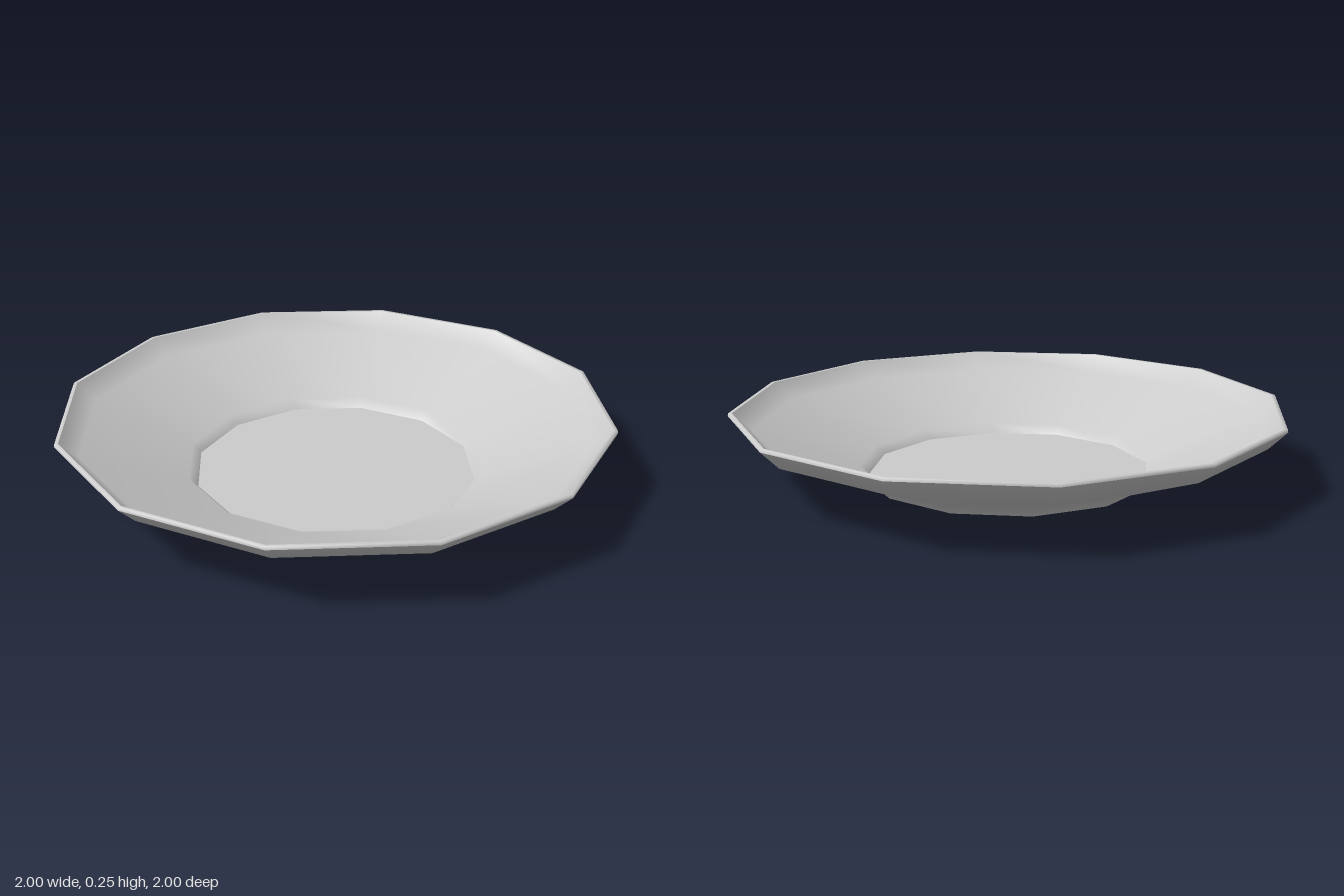
import * as THREE from 'three';

const SIDES = 12;

export function createModel() {
  const plate = new THREE.Group();
  plate.name = 'plate';
  const material = new THREE.MeshStandardMaterial({ color: 0xcccccc });

  // Each section is its own lathe: smooth inside a section, sharp between sections
  const addSection = (name, profile) => {
    const points = profile.map(([r, y]) => new THREE.Vector2(r, y));
    const mesh = new THREE.Mesh(new THREE.LatheGeometry(points, SIDES), material);
    mesh.name = name;
    plate.add(mesh);
  };

  // The profile runs from the underside, around the rim, and back to the floor
  addSection('base', [[0, 0], [0.525, 0]]);
  addSection('outerWall', [[0.525, 0], [0.555, 0.035], [0.935, 0.18], [1, 0.245]]);
  addSection('rim', [[1, 0.245], [0.998, 0.255], [0.985, 0.255]]);
  addSection('innerWall', [[0.985, 0.255], [0.92, 0.19], [0.545, 0.045], [0.513, 0.013]]);
  addSection('floor', [[0.513, 0.013], [0, 0.013]]);

  return plate;
}
